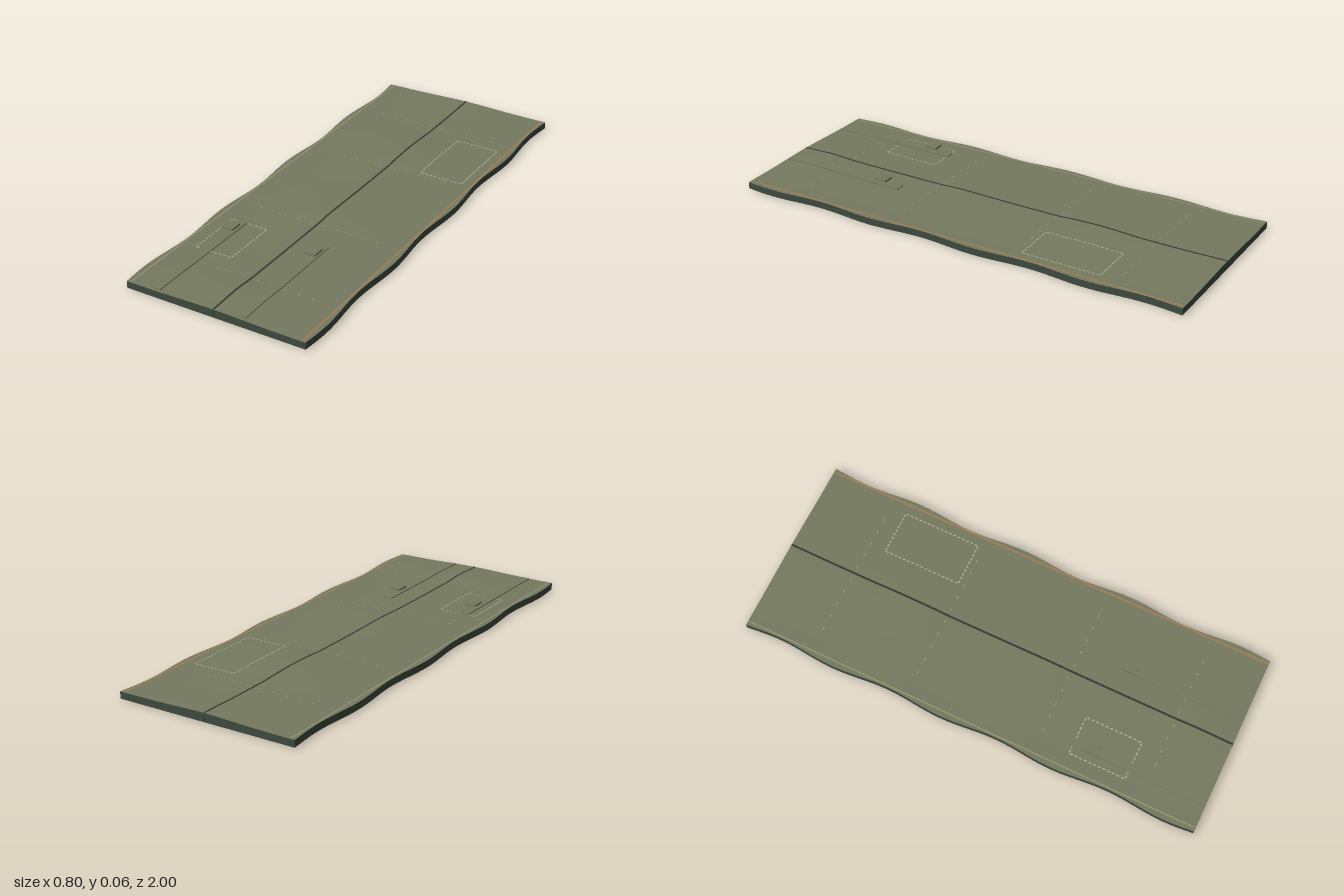
import * as THREE from 'three';
import { mergeGeometries } from 'three/addons/utils/BufferGeometryUtils.js';

const paint = (name, color) => {
  const m = new THREE.MeshStandardMaterial({ color });
  m.name = name;
  return m;
};

// Padding crest along the length: [z, rise above the rim]
const crest = [[-1, 0.007], [-0.8, 0.004], [-0.68, 0.004], [-0.45, 0.011], [-0.35, 0.009], [-0.26, 0.004], [-0.1, 0.004],
  [0.2, 0.007], [0.31, 0.003], [0.55, 0.003], [0.73, 0.004], [0.85, 0.01], [1, 0.006]];

function rise(z) {
  for (let i = 1; i < crest.length; i++) {
    const [z0, h0] = crest[i - 1], [z1, h1] = crest[i];
    if (z <= z1) return THREE.MathUtils.lerp(h0, h1, THREE.MathUtils.smoothstep(z, z0, z1));
  }
  return crest[crest.length - 1][1];
}

// Top height and wavy long edge
const height = (x, z) => 0.029 + rise(z) * Math.exp(-((x / 0.18) ** 2));
const edge = (z) => 0.392 + 0.008 * Math.cos((2 * Math.PI * (z - 0.38)) / 0.49);

// Grid surface from a rule; faces point along dv x du
function surface(fn, nu, nv) {
  const pos = [], idx = [];
  for (let j = 0; j <= nv; j++) for (let i = 0; i <= nu; i++) pos.push(...fn(i / nu, j / nv));
  for (let j = 0; j < nv; j++) {
    for (let i = 0; i < nu; i++) {
      const a = j * (nu + 1) + i, b = a + nu + 1;
      idx.push(a, b, a + 1, b, b + 1, a + 1);
    }
  }
  const g = new THREE.BufferGeometry();
  g.setAttribute('position', new THREE.Float32BufferAttribute(pos, 3));
  g.setIndex(idx);
  g.computeVertexNormals();
  return g;
}

// Lay a geometry over the padded top
function drape(g, x, y, z) {
  g.translate(x, y, z);
  const p = g.attributes.position;
  for (let i = 0; i < p.count; i++) p.setY(i, p.getY(i) + height(p.getX(i), p.getZ(i)));
  g.computeVertexNormals();
  return g;
}

// Flat ribbon just above the fabric
const ribbon = (x, z, w, d) =>
  drape(new THREE.PlaneGeometry(w, d, 1, Math.ceil(d / 0.0167)).rotateX(-Math.PI / 2), x, 0.001, z);

// Row of stitches along x or z
function stitches(x0, z0, x1, z1, step = 0.02) {
  const len = Math.hypot(x1 - x0, z1 - z0), n = Math.round(len / step), out = [];
  const alongX = Math.abs(x1 - x0) > Math.abs(z1 - z0);
  for (let i = 0; i < n; i++) {
    const k = (i + 0.5) / n;
    out.push(ribbon(x0 + (x1 - x0) * k, z0 + (z1 - z0) * k, alongX ? 0.012 : 0.005, alongX ? 0.005 : 0.012));
  }
  return out;
}

const stitchedBox = (x0, z0, x1, z1) => mergeGeometries([
  ...stitches(x0, z0, x1, z0), ...stitches(x0, z1, x1, z1),
  ...stitches(x0, z0, x0, z1), ...stitches(x1, z0, x1, z1),
]);

export function createModel() {
  const model = new THREE.Group();
  model.name = 'sleepingMat';

  const olive = paint('olive fabric', 0x757a5f);
  const green = paint('dark green side', 0x3e4a3e);
  const seam = paint('dark seam', 0x353c33);
  const thread = paint('pale thread', 0xb3b394);
  const khaki = paint('khaki thread', 0x96966c);
  const tan = paint('tan piping', 0x9c7c58);

  const add = (name, geometry, material, parent = model) => {
    const m = new THREE.Mesh(geometry, material);
    m.name = name;
    parent.add(m);
    return m;
  };

  // Padded top and flat underside
  add('paddedTop', surface((u, v) => {
    const z = 2 * v - 1, x = (2 * u - 1) * edge(z);
    return [x, height(x, z), z];
  }, 40, 120), olive);
  add('underside', surface((u, v) => {
    const z = 2 * v - 1;
    return [(1 - 2 * u) * edge(z), 0, z];
  }, 2, 120), olive);

  // Walls around the rim, each walked anticlockwise from above
  const rims = {
    frontWall: (s) => [s * edge(1), 1],
    leftWall: (s) => [edge(-s), -s],
    backWall: (s) => [-s * edge(-1), -1],
    rightWall: (s) => [-edge(s), s],
  };
  for (const [name, rim] of Object.entries(rims)) {
    add(name, surface((u, v) => {
      const [x, z] = rim(2 * u - 1);
      return [x, height(x, z) * (1 - v), z];
    }, 120, 1), green);
  }

  // Centre seams
  add('topSeam', ribbon(0, 0, 0.009, 2), seam);
  for (const s of [1, -1]) add('endSeam', new THREE.BoxGeometry(0.005, 0.03, 0.001).translate(0, 0.016, s), seam);
  add('bottomSeam', new THREE.PlaneGeometry(0.005, 2).rotateX(Math.PI / 2).translate(0, -0.0006, 0), khaki);

  // Piping beside the long edges
  add('leftPiping', ribbon(0.378, 0, 0.009, 1.99), tan);
  add('rightPiping', ribbon(-0.376, 0, 0.005, 1.99), khaki);

  // Pocket outlines and quilting rows
  add('largePocketStitching', stitchedBox(0.145, -0.635, 0.335, -0.295), thread);
  add('smallPocketStitching', stitchedBox(-0.315, 0.425, -0.15, 0.67), thread);
  const rows = [-0.705, -0.27, 0.29, 0.755].flatMap((z) => stitches(-0.3, z, 0.3, z, 0.06));
  add('quiltingStitches', mergeGeometries(rows), khaki);

  // Two straps with raised buckles
  for (const x of [-0.264, 0.114]) {
    const strap = new THREE.Group();
    strap.name = 'strap';
    model.add(strap);
    add('strapBand', drape(new THREE.BoxGeometry(0.038, 0.004, 0.57, 1, 1, 34), x, 0.003, 0.705), olive, strap);
    add('buckle', new THREE.BoxGeometry(0.048, 0.008, 0.054), olive, strap).position.set(x, 0.056, 0.505);
  }

  return model;
}
